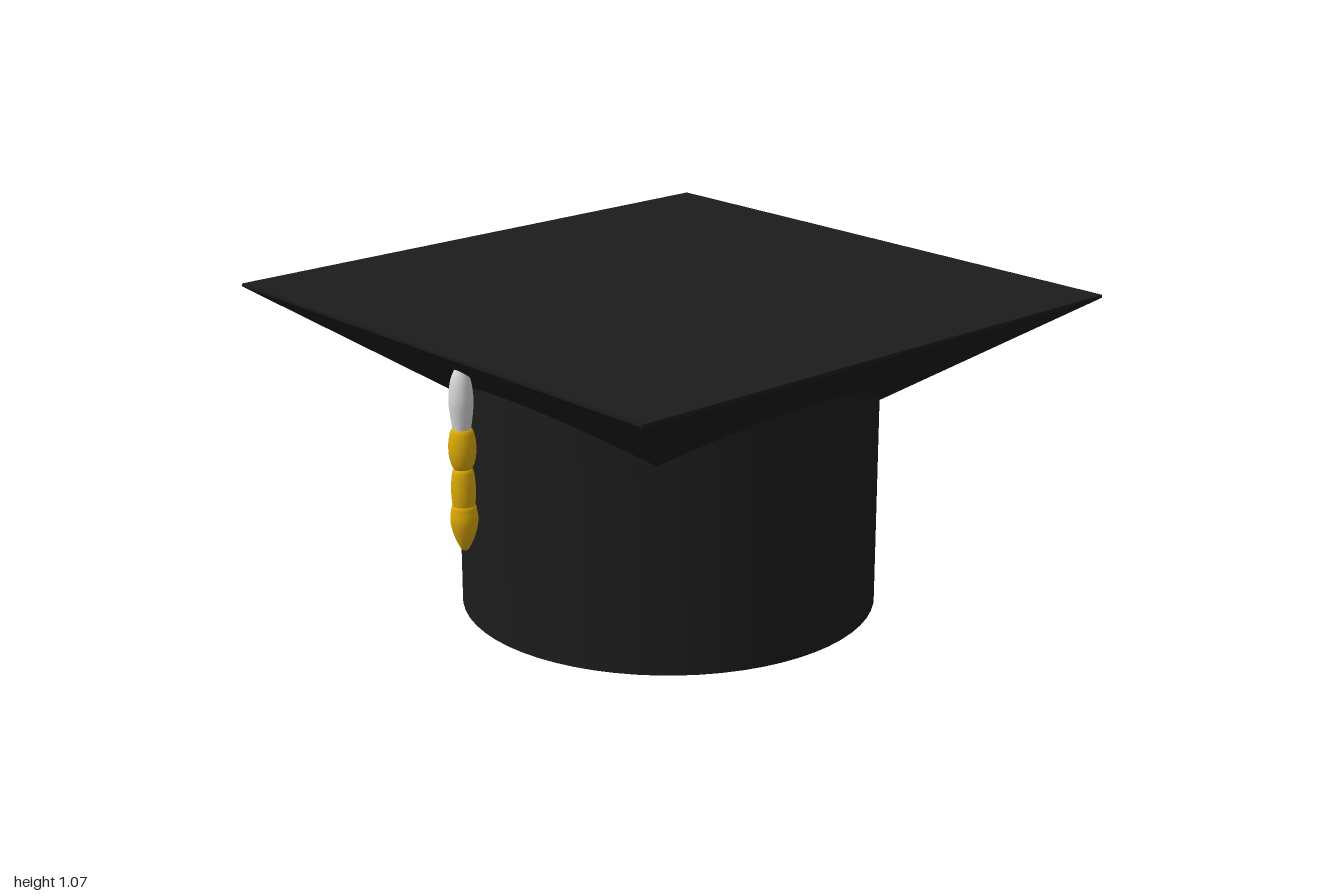
import * as THREE from 'three';
import { toCreasedNormals } from 'three/addons/utils/BufferGeometryUtils.js';

const black = new THREE.MeshStandardMaterial({ color: 0x1c1c1c });
black.name = 'black cloth';
const red = new THREE.MeshStandardMaterial({ color: 0x8b1e1e, side: THREE.DoubleSide });
red.name = 'red lining';
const gold = new THREE.MeshStandardMaterial({ color: 0xdaa806 });
gold.name = 'gold thread';
const silver = new THREE.MeshStandardMaterial({ color: 0xd6d6d6 });
silver.name = 'silver cord';

const points = (list) => list.map(([r, y]) => new THREE.Vector2(r, y));

function add(parent, name, geometry, material) {
  const mesh = new THREE.Mesh(geometry, material);
  mesh.name = name;
  parent.add(mesh);
  return mesh;
}

// Smooth bead turned from a few [radius, y] points, listed bottom to top
function bead(profile) {
  const curve = new THREE.SplineCurve(points(profile));
  return new THREE.LatheGeometry(curve.getPoints(24), 24);
}

export function createModel() {
  const cap = new THREE.Group();
  cap.name = 'graduationCap';

  // Round crown with a flat rim and a short inner lip
  const crown = new THREE.LatheGeometry(points([[0.625, 0.04], [0.625, 0], [0.702, 0], [0.702, 0.88]]), 64);
  add(cap, 'crown', toCreasedNormals(crown, 0.6), black);

  // Shallow domed lining, from the apex down to the lip
  const dome = [];
  for (let i = 0; i <= 24; i++) {
    const a = (i / 24) * Math.PI / 2;
    dome.push([0.625 * Math.sin(a), 0.04 + 0.26 * Math.cos(a)]);
  }
  add(cap, 'lining', new THREE.LatheGeometry(points(dome), 64), red);

  // Square board: thin slab over an underside that tapers into the crown
  const slab = add(cap, 'board', new THREE.BoxGeometry(2, 0.01, 2), black);
  slab.position.y = 1.065;
  const taper = new THREE.CylinderGeometry(Math.SQRT2, 0.49 * Math.SQRT2, 0.366, 4);
  taper.rotateY(Math.PI / 4);
  const underside = add(cap, 'boardUnderside', toCreasedNormals(taper, 0.2), black);
  underside.position.y = 0.877;

  // Tassel hanging from the underside of the board
  const tassel = new THREE.Group();
  tassel.name = 'tassel';
  tassel.position.x = -0.863;
  add(tassel, 'tasselCord', bead([[0.028, 0.775], [0.036, 0.83], [0.039, 0.88], [0.031, 0.94], [0.012, 0.98], [0, 0.985]]), silver);
  add(tassel, 'tasselKnot', bead([[0, 0.645], [0.028, 0.65], [0.041, 0.685], [0.044, 0.72], [0.041, 0.75], [0.031, 0.78], [0, 0.783]]), gold);
  add(tassel, 'tasselBody', bead([[0.03, 0.5], [0.037, 0.54], [0.039, 0.58], [0.036, 0.625], [0.028, 0.65], [0, 0.655]]), gold);
  add(tassel, 'tasselTip', bead([[0, 0.375], [0.014, 0.385], [0.034, 0.43], [0.044, 0.475], [0.041, 0.51], [0.034, 0.53], [0, 0.535]]), gold);
  cap.add(tassel);

  return cap;
}
